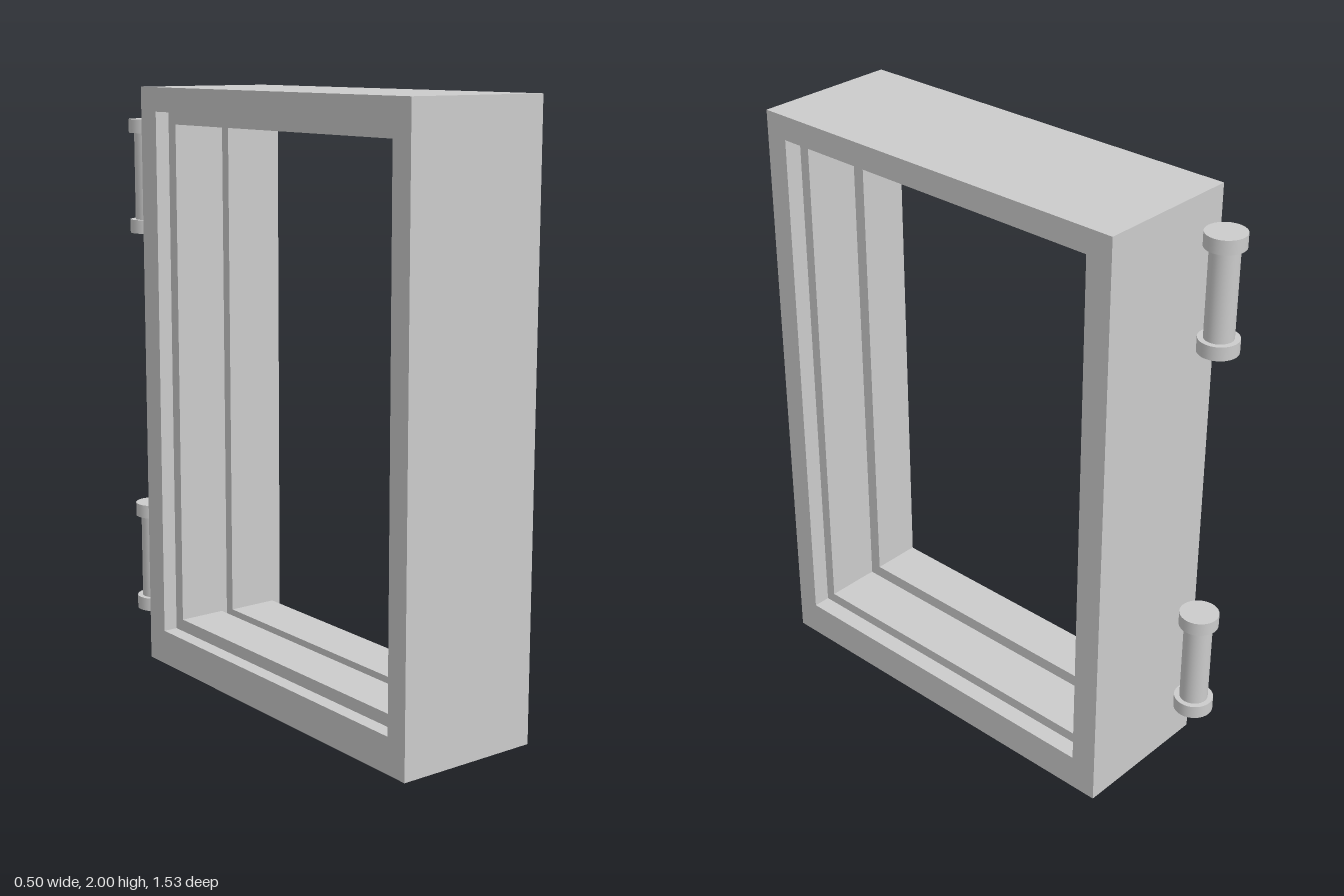
import * as THREE from 'three';

// Corners of a rectangle in the z-y plane, counter-clockwise seen from +x
const rect = (zFront, zBack, yLow, yHigh) => [[zFront, yLow], [zBack, yLow], [zBack, yHigh], [zFront, yHigh]];
const outer = rect(0.765, -0.635, 0, 2);
const opening = (inset) => rect(0.685 - inset, -0.545 + inset, 0.12 + inset, 1.92 - inset);

// Sweeps the jamb profile around the four sides with mitred corners
function sweepFrame(profile) {
  const rings = profile.map(([x, inset]) =>
    (inset === null ? outer : opening(inset)).map(([z, y]) => [x, y, z]));
  const positions = [];
  rings.forEach((ring, j) => {
    const next = rings[(j + 1) % rings.length];
    for (let i = 0; i < 4; i++) {
      const k = (i + 1) % 4;
      positions.push(...ring[i], ...ring[k], ...next[k], ...ring[i], ...next[k], ...next[i]);
    }
  });
  const geometry = new THREE.BufferGeometry();
  geometry.setAttribute('position', new THREE.Float32BufferAttribute(positions, 3));
  geometry.computeVertexNormals();
  return geometry;
}

export function createModel() {
  const model = new THREE.Group();
  model.name = 'doorFrame';
  const material = new THREE.MeshStandardMaterial({ color: 0xcccccc });

  // Jamb profile as [x, inset into the opening]; null is the outer edge
  const frame = new THREE.Mesh(sweepFrame([
    [0.25, null],
    [0.25, 0], [0.19, 0],                 // rebate
    [0.19, 0.036], [0.015, 0.036],        // first stop
    [0.015, 0], [-0.035, 0],              // seal groove
    [-0.035, 0.042], [-0.2, 0.042],       // second stop
    [-0.2, 0], [-0.25, 0],                // rebate on the hinge side
    [-0.25, null],
  ]), material);
  frame.name = 'frame';
  model.add(frame);

  // Hinges: a pin with a wider collar at each end
  const pinGeometry = new THREE.CylinderGeometry(0.047, 0.047, 0.295, 32);
  const collarGeometry = new THREE.CylinderGeometry(0.065, 0.065, 0.046, 32);
  for (const [name, y] of [['lowerHinge', 0.353], ['upperHinge', 1.697]]) {
    const hinge = new THREE.Group();
    hinge.name = name;
    hinge.position.set(-0.185, y, -0.7);
    const pin = new THREE.Mesh(pinGeometry, material);
    pin.name = 'hingePin';
    hinge.add(pin);
    for (const side of [-1, 1]) {
      const collar = new THREE.Mesh(collarGeometry, material);
      collar.name = side < 0 ? 'lowerCollar' : 'upperCollar';
      collar.position.y = side * 0.17;
      hinge.add(collar);
    }
    model.add(hinge);
  }
  return model;
}
